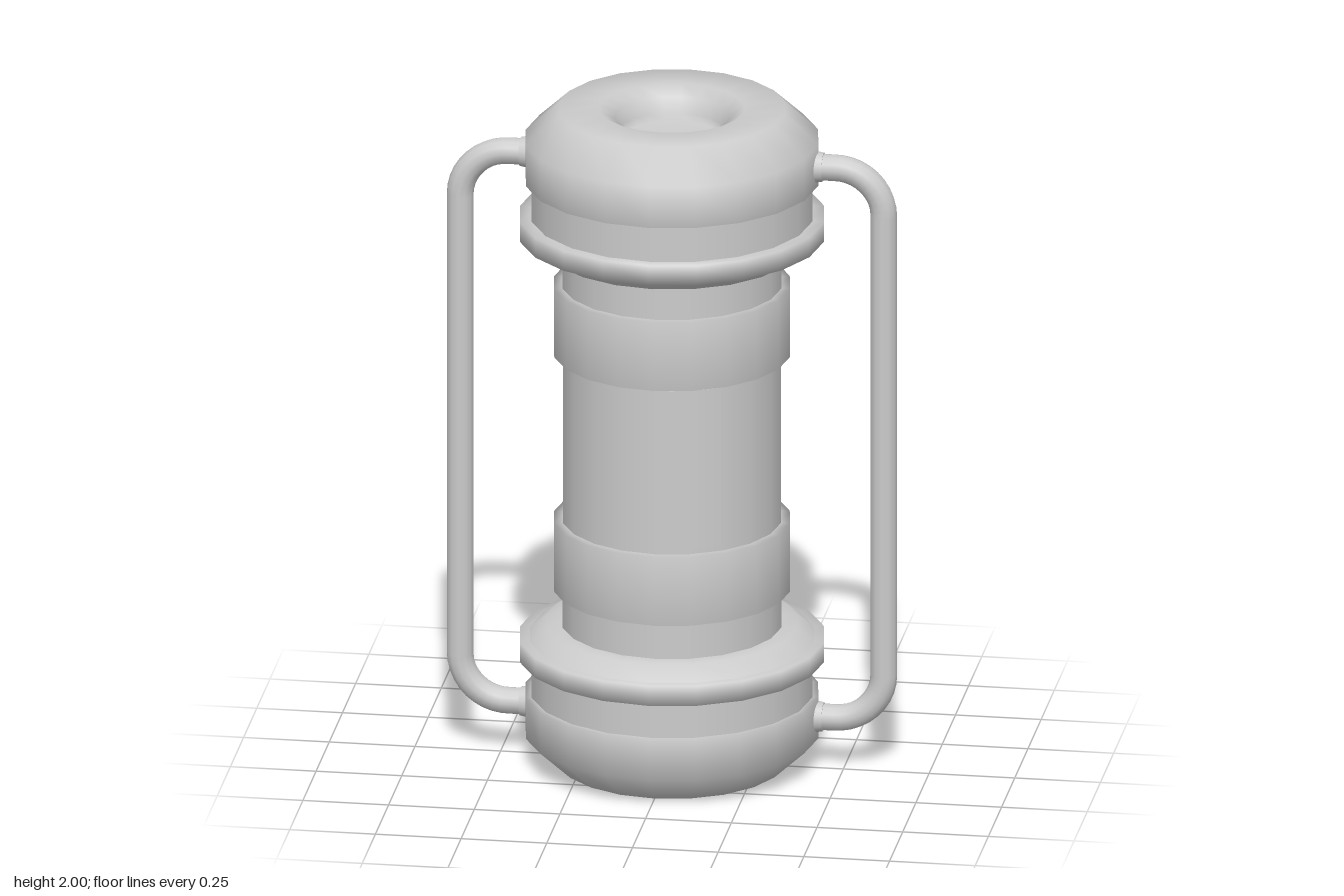
import * as THREE from 'three';

const material = new THREE.MeshStandardMaterial({ color: 0xcccccc, side: THREE.DoubleSide });
const SIDES = 20;

export function createModel() {
  const group = new THREE.Group();
  const add = (name, geometry, parent = group) => {
    const mesh = new THREE.Mesh(geometry, material);
    mesh.name = name;
    parent.add(mesh);
    return mesh;
  };
  const lathe = (name, profile) =>
    add(name, new THREE.LatheGeometry(profile.map(([r, y]) => new THREE.Vector2(r, y)), SIDES));

  // Turned parts of the upper half as [radius, y], from bottom to top
  const turned = {
    Band: [[0.31, 1.255], [0.344, 1.255], [0.344, 1.465], [0.31, 1.465]],
    Neck: [[0.32, 1.45], [0.32, 1.6]],
    FlangeSlope: [[0.31, 1.575], [0.365, 1.575], [0.415, 1.615]],
    Flange: [[0.37, 1.615], [0.444, 1.615], [0.444, 1.675], [0.4, 1.675]],
    Collar: [[0.41, 1.67], [0.41, 1.8]],
    Cap: [[0.4, 1.785], [0.427, 1.785], [0.427, 1.91], [0.33, 2], [0.21, 2],
      [0.165, 1.975], [0.153, 1.93], [0.14, 1.91], [0, 1.91]],
  };
  for (const [part, profile] of Object.entries(turned)) {
    lathe('upper' + part, profile);
    lathe('lower' + part, profile.map(([r, y]) => [r, 2 - y]).reverse());
  }

  // Middle chamber
  lathe('chamber', [[0.318, 0.74], [0.318, 1.26]]);

  // Curved strip standing against the front of the chamber
  const strip = new THREE.Shape();
  const start = Math.PI / 2 - 0.587, end = Math.PI / 2;
  strip.absarc(0, 0, 0.336, start, end, false);
  strip.absarc(0, 0, 0.312, end, start, true);
  const stripGeometry = new THREE.ExtrudeGeometry(strip, { depth: 0.485, bevelEnabled: false, curveSegments: 4 });
  stripGeometry.rotateX(Math.PI / 2).translate(0, 1.253, 0);
  add('frontStrip', stripGeometry);

  // Side handles with ferrules at both ends
  const v = (x, y) => new THREE.Vector3(x, y, 0);
  const bend = 0.14, k = bend * 0.45, X = 0.618, LOW = 0.157, HIGH = 1.843;
  for (const side of [1, -1]) {
    const handle = new THREE.Group();
    handle.name = side > 0 ? 'leftHandle' : 'rightHandle';
    const path = new THREE.CurvePath();
    path.add(new THREE.LineCurve3(v(0.38, LOW), v(X - bend, LOW)));
    path.add(new THREE.CubicBezierCurve3(v(X - bend, LOW), v(X - k, LOW), v(X, LOW + k), v(X, LOW + bend)));
    path.add(new THREE.LineCurve3(v(X, LOW + bend), v(X, HIGH - bend)));
    path.add(new THREE.CubicBezierCurve3(v(X, HIGH - bend), v(X, HIGH - k), v(X - k, HIGH), v(X - bend, HIGH)));
    path.add(new THREE.LineCurve3(v(X - bend, HIGH), v(0.38, HIGH)));
    add('handleBar', new THREE.TubeGeometry(path, 90, 0.039, 12), handle);
    for (const y of [LOW, HIGH]) {
      const ferrule = new THREE.CylinderGeometry(0.042, 0.053, 0.06, 16);
      ferrule.rotateZ(-Math.PI / 2).translate(0.412, y, 0);
      add('handleFerrule', ferrule, handle);
    }
    if (side < 0) handle.rotation.y = Math.PI;
    group.add(handle);
  }
  return group;
}
